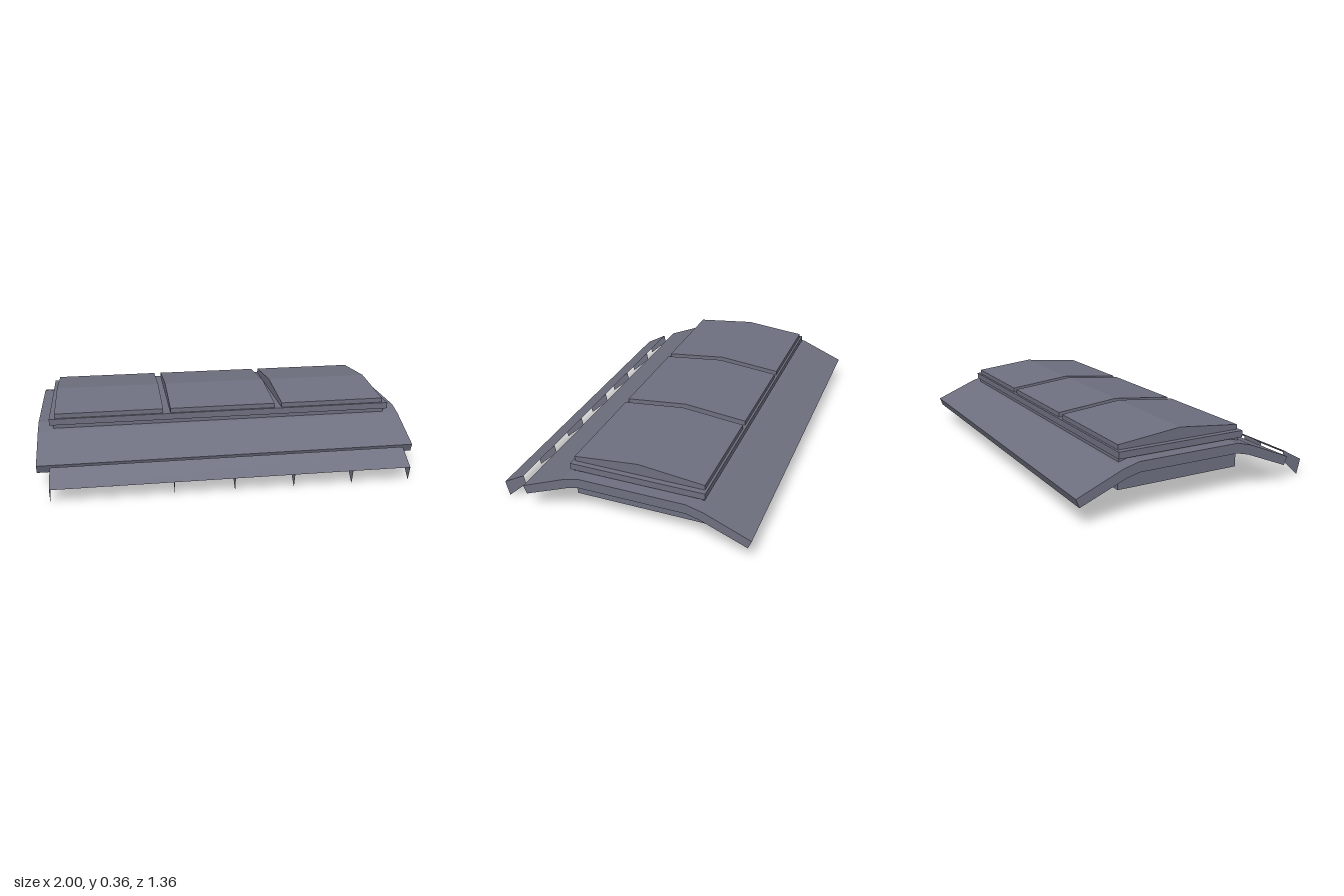
import * as THREE from 'three';

const slate = new THREE.MeshStandardMaterial({ color: 0x6e7080 });
slate.name = 'slate grey';
const slateSheet = new THREE.MeshStandardMaterial({ color: 0x6e7080, side: THREE.DoubleSide });
slateSheet.name = 'slate grey sheet';

const MID = -0.08; // z of the roof ridge

// Prism of a [z, y] outline, running along x and centred on cx
function prism(name, points, width, cx = 0) {
  const shape = new THREE.Shape(points.map(([z, y]) => new THREE.Vector2(z, y)));
  const geo = new THREE.ExtrudeGeometry(shape, { depth: width, bevelEnabled: false });
  geo.rotateY(-Math.PI / 2).translate(cx + width / 2, 0, 0);
  const mesh = new THREE.Mesh(geo, slate);
  mesh.name = name;
  return mesh;
}

// Flat slab centred on the ridge
function slab(name, width, depth, y0, y1) {
  const geo = new THREE.BoxGeometry(width, y1 - y0, depth);
  geo.translate(0, (y0 + y1) / 2, MID);
  const mesh = new THREE.Mesh(geo, slate);
  mesh.name = name;
  return mesh;
}

export function createModel() {
  const model = new THREE.Group();
  model.name = 'ventRoof';

  // Bent deck with drooping front and rear skirts, mirrored about the ridge
  const upper = [[0.6, 0.142], [0.363, 0.24], [0.278, 0.262]];
  const lower = [[0.278, 0.21], [0.346, 0.193], [0.583, 0.098]];
  const half = [...lower, ...upper];
  const deck = [
    ...half.map(([d, y]) => [MID + d, y]),
    ...half.slice().reverse().map(([d, y]) => [MID - d, y]),
  ];
  model.add(prism('deck', deck, 2));

  // Stepped collar around the hatches
  model.add(slab('lowerCollar', 1.84, 0.684, 0.245, 0.268));
  model.add(slab('upperCollar', 1.88, 0.704, 0.266, 0.3));

  // Three ridged hatch boxes passing through the deck
  const h = 0.34;
  const hatch = [[MID - h, 0.105], [MID + h, 0.105], [MID + h, 0.325], [MID, 0.36], [MID - h, 0.325]];
  for (const x of [-0.62, 0, 0.62]) model.add(prism('hatch', hatch, 0.58, x));

  // Thin front deflector carried on seven sheet ribs
  const deflector = new THREE.Group();
  deflector.name = 'deflector';
  const blade = new THREE.PlaneGeometry(1.86, 1);
  const p = blade.attributes.position;
  for (let i = 0; i < p.count; i++) {
    const back = p.getY(i) > 0;
    p.setXYZ(i, p.getX(i), back ? 0.147 : 0.08, back ? 0.56 : 0.68);
  }
  blade.computeVertexNormals();
  const bladeMesh = new THREE.Mesh(blade, slateSheet);
  bladeMesh.name = 'deflectorBlade';
  deflector.add(bladeMesh);

  const ribShape = new THREE.Shape(
    [[0.55, 0.1], [0.66, 0], [0.68, 0.08], [0.56, 0.147]].map(([z, y]) => new THREE.Vector2(z, y)));
  const ribGeo = new THREE.ShapeGeometry(ribShape).rotateY(-Math.PI / 2);
  for (let i = 0; i < 7; i++) {
    const rib = new THREE.Mesh(ribGeo, slateSheet);
    rib.name = 'deflectorRib';
    rib.position.x = -0.93 + i * 0.31;
    deflector.add(rib);
  }
  model.add(deflector);

  return model;
}
